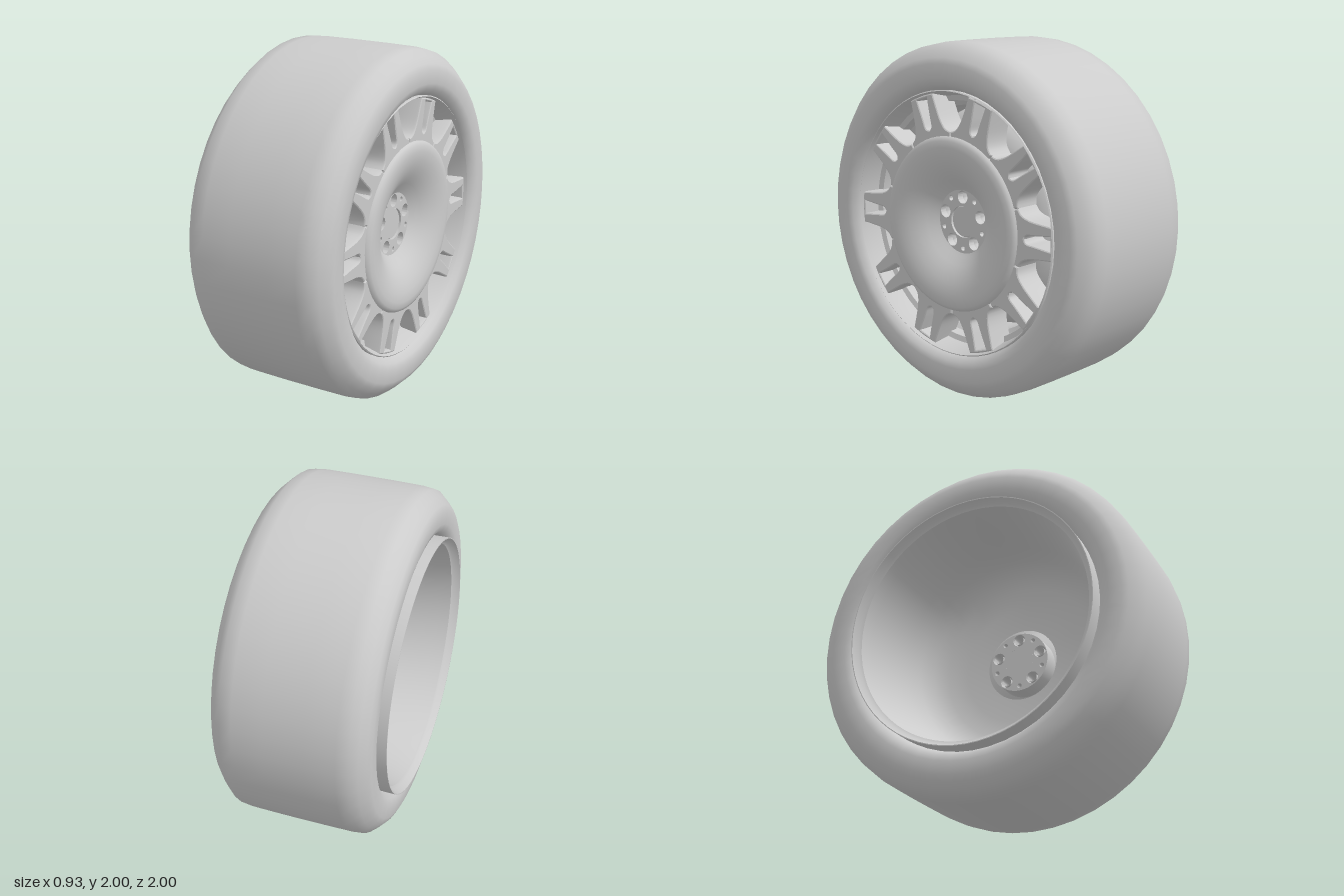
import * as THREE from 'three';
import { toCreasedNormals } from 'three/addons/utils/BufferGeometryUtils.js';

const material = new THREE.MeshStandardMaterial({ color: 0xcccccc, side: THREE.DoubleSide });

function addMesh(parent, name, geometry) {
  const mesh = new THREE.Mesh(geometry, material);
  mesh.name = name;
  parent.add(mesh);
  return mesh;
}

// Turns [radius, depth] pairs around the axle (local z, outer face towards +z)
function turned(points, segments, crease = 0.6) {
  const profile = points.map(([r, z]) => new THREE.Vector2(r, z));
  return toCreasedNormals(new THREE.LatheGeometry(profile, segments).rotateX(Math.PI / 2), crease);
}

function circle(Type, radius, x = 0, y = 0) {
  const path = new Type();
  path.absarc(x, y, radius, 0, Math.PI * 2, false);
  return path;
}

function smooth(points) {
  return new THREE.SplineCurve(points.map(([x, y]) => new THREE.Vector2(x, y))).getPoints(10);
}

const mirrored = points => points.map(p => new THREE.Vector2(-p.x, p.y)).reverse();

// Points on an arc about the axle, angles measured from +y towards +x
function arc(radius, from, to, steps) {
  return Array.from({ length: steps + 1 }, (_, i) => {
    const a = from + (to - from) * i / steps;
    return new THREE.Vector2(radius * Math.sin(a), radius * Math.cos(a));
  });
}

// One spoke pair centred on +y: flared outer walls and a narrow slot between the legs
function spokePairGeometry() {
  const half = Math.PI / 10, centre = new THREE.Vector2();
  const wall = smooth([[0, 0.515], [-0.04, 0.53], [-0.075, 0.575], [-0.105, 0.64], [-0.136, 0.715]])
    .map(p => p.rotateAround(centre, -half));
  const end = wall[wall.length - 1], spread = Math.atan2(end.x, end.y);
  const shape = new THREE.Shape([
    ...arc(0.43, -half, half, 6), ...wall,
    ...arc(end.length(), spread, -spread, 6).slice(1, -1), ...mirrored(wall)
  ]);
  const slotSide = smooth([[0, 0.532], [0.021, 0.55], [0.027, 0.61], [0.038, 0.708]]);
  shape.holes.push(new THREE.Path([...slotSide, ...mirrored(slotSide).slice(0, -1)]));
  const geometry = new THREE.ExtrudeGeometry(shape, {
    depth: 0.13, bevelThickness: 0.014, bevelSize: 0.008, bevelOffset: -0.008, bevelSegments: 2
  });
  return toCreasedNormals(geometry.translate(0, 0, 0.265), 0.6);
}

export function createModel() {
  const model = new THREE.Group();
  model.name = 'wheel';
  const wheel = new THREE.Group();
  wheel.name = 'wheelAssembly';
  wheel.rotation.y = Math.PI / 2;
  wheel.position.y = 1;
  model.add(wheel);

  // Tyre with rounded shoulders and beads tucked in against the rim
  addMesh(wheel, 'tyre', turned([
    [0.738, -0.36], [0.75, -0.39], [0.775, -0.42], [0.81, -0.43], [0.885, -0.43], [0.918, -0.415],
    [0.955, -0.38], [0.99, -0.34], [0.998, -0.27], [1, -0.1], [1, 0.13], [0.998, 0.3], [0.99, 0.37],
    [0.955, 0.41], [0.918, 0.445], [0.885, 0.46], [0.81, 0.46], [0.775, 0.45], [0.75, 0.42], [0.738, 0.39]
  ], 48, 0.9));

  // Rim: thin flared rear lip, barrel curving in behind the spokes, open at the hub
  addMesh(wheel, 'rimBarrel', turned([
    [0.738, -0.34], [0.74, -0.465], [0.735, -0.465], [0.715, -0.43], [0.7, -0.42], [0.685, -0.34], [0.66, -0.15],
    [0.645, 0], [0.615, 0.11], [0.56, 0.18], [0.48, 0.22], [0.36, 0.24], [0.22, 0.25]
  ], 64));

  // Stepped outer rim seen between the spokes
  addMesh(wheel, 'outerRim', turned([
    [0.738, 0.36], [0.742, 0.42], [0.736, 0.425], [0.722, 0.39], [0.705, 0.31],
    [0.675, 0.3], [0.67, 0.24], [0.645, 0.22], [0.64, 0.02]
  ], 64, 0.4));

  // Ten paired spokes around the hub
  const spokePair = spokePairGeometry();
  for (let i = 0; i < 10; i++) {
    addMesh(wheel, 'spokePair', spokePair).rotation.z = (i + 0.5) * Math.PI / 5;
  }

  // Dished centre disc with a rolled edge
  addMesh(wheel, 'centreDisc', turned([
    [0.43, 0.3], [0.485, 0.38], [0.492, 0.405], [0.484, 0.42], [0.465, 0.43], [0.43, 0.434], [0.38, 0.427],
    [0.33, 0.411], [0.28, 0.386], [0.24, 0.359], [0.2, 0.328], [0.18, 0.315]
  ], 64));

  // Hub plate with five bolt holes and five small pin holes
  const hub = circle(THREE.Shape, 0.182);
  hub.holes.push(circle(THREE.Path, 0.09));
  for (let i = 0; i < 5; i++) {
    const a = Math.PI / 2 + i * Math.PI * 0.4, b = a + Math.PI / 5;
    hub.holes.push(circle(THREE.Path, 0.037, 0.14 * Math.cos(a), 0.14 * Math.sin(a)));
    hub.holes.push(circle(THREE.Path, 0.014, 0.152 * Math.cos(b), 0.152 * Math.sin(b)));
  }
  const hubGeometry = new THREE.ExtrudeGeometry(hub, { depth: 0.11, curveSegments: 32, bevelEnabled: false });
  hubGeometry.translate(0, 0, 0.205);
  addMesh(wheel, 'hubPlate', toCreasedNormals(hubGeometry, 0.6));

  // Seats inside the bolt holes
  const seatGeometry = turned([[0.037, 0.275], [0.028, 0.26], [0.028, 0.205]], 24);
  for (let i = 0; i < 5; i++) {
    const a = Math.PI / 2 + i * Math.PI * 0.4;
    addMesh(wheel, 'boltSeat', seatGeometry).position.set(0.14 * Math.cos(a), 0.14 * Math.sin(a), 0);
  }

  // Centre cap set into the hub
  addMesh(wheel, 'centreCap', turned([[0, 0.205], [0.09, 0.205], [0.09, 0.3], [0.086, 0.305], [0, 0.305]], 40));

  return model;
}
